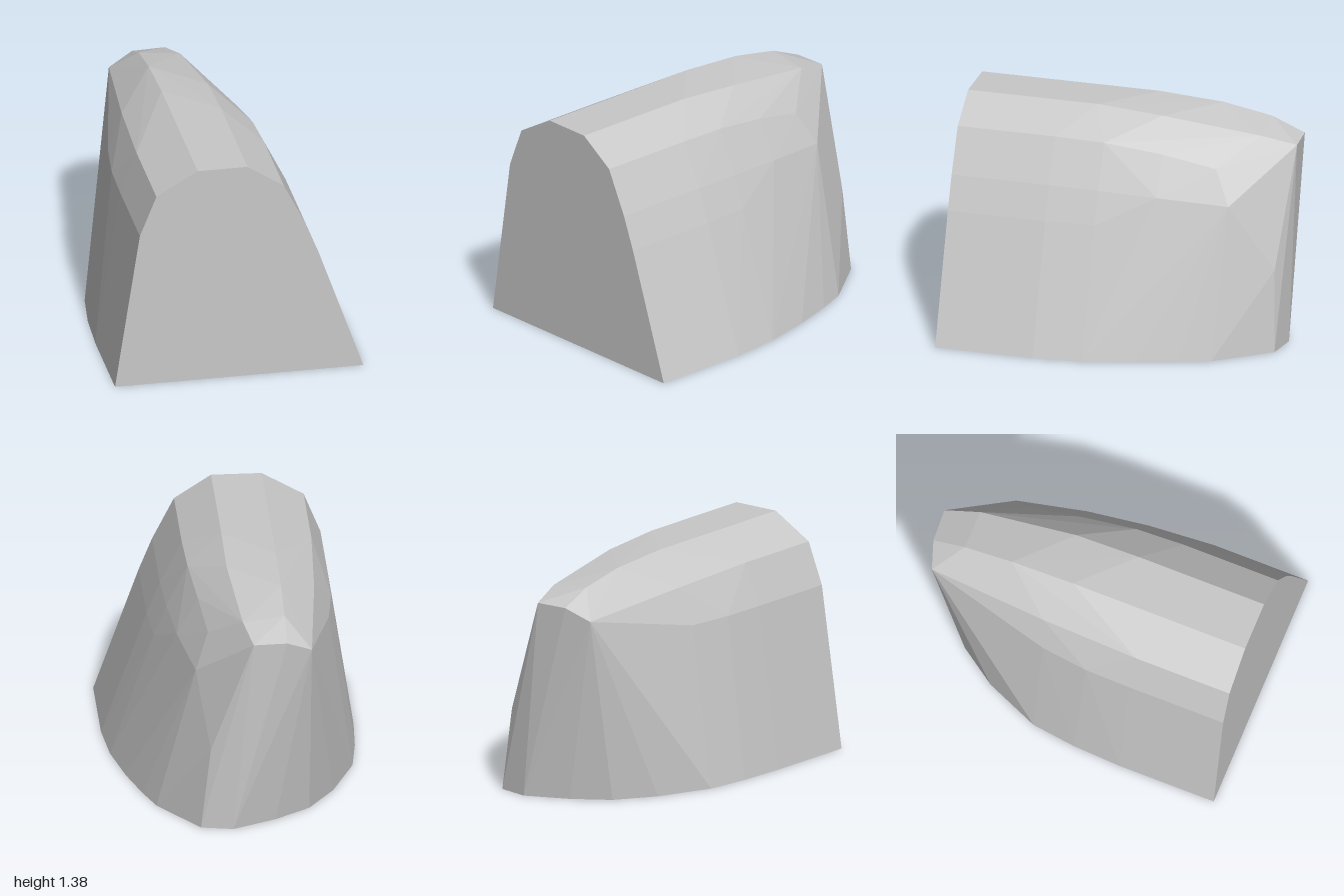
import * as THREE from 'three';
import { ConvexGeometry } from 'three/addons/geometries/ConvexGeometry.js';

// Each rail is one lengthwise edge of the faceted block, front (z = 1) to back: [x, y, z].
const rails = {
  baseLeft: [
    [0.75, 0, 1], [0.75, 0, 0.4], [0.72, 0, 0.1], [0.65, 0, -0.2], [0.57, 0, -0.45],
    [0.5, 0, -0.63], [0.26, 0, -0.95], [0.07, 0, -0.985],
  ],
  baseRight: [
    [-0.75, 0, 1], [-0.75, 0, 0.4], [-0.735, 0, 0.1], [-0.7, 0, -0.17],
    [-0.56, 0, -0.5], [-0.4, 0, -0.73], [-0.19, 0, -0.87],
  ],
  flankLeft: [[0.48, 0.77, 1], [0.48, 0.77, 0.4], [0.46, 0.77, 0.1]],
  shoulderLeft: [[0.4, 0.97, 1], [0.4, 0.97, 0.4], [0.385, 0.96, 0.1], [0.35, 0.94, -0.25], [0.27, 0.9, -0.67]],
  upperLeft: [[0.27, 1.23, 1], [0.27, 1.23, 0.4], [0.26, 1.22, 0.1], [0.225, 1.17, -0.25], [0.19, 1.1, -0.57]],
  crestLeft: [[0.05, 1.375, 1], [0.05, 1.375, 0.2], [0.05, 1.345, -0.2], [0, 1.265, -0.79], [-0.05, 1.21, -1]],
  crestRight: [
    [-0.25, 1.375, 1], [-0.25, 1.375, -0.1], [-0.25, 1.35, -0.49],
    [-0.25, 1.295, -0.79], [-0.25, 1.21, -0.99],
  ],
  upperRight: [[-0.5, 1.23, 1], [-0.5, 1.23, 0.4], [-0.47, 1.2, -0.2], [-0.4, 1.14, -0.94]],
  shoulderRight: [[-0.6, 0.98, 1], [-0.6, 0.98, 0.4], [-0.595, 0.98, 0.12], [-0.56, 0.98, -0.17]],
  // Slight bulges of the back wall
  back: [[-0.25, 1.03, -0.97], [0.2, 0.5, -0.935]],
};

export function createModel() {
  const group = new THREE.Group();
  group.name = 'facetedBlock';

  const grey = new THREE.MeshStandardMaterial({ color: 0xc8c8c8 });
  grey.name = 'light grey';

  // Solid body stretched over all rails, with flat facets
  const points = Object.values(rails).flat().map((p) => new THREE.Vector3(...p));
  const body = new THREE.Mesh(new ConvexGeometry(points), grey);
  body.name = 'body';
  group.add(body);
  return group;
}
